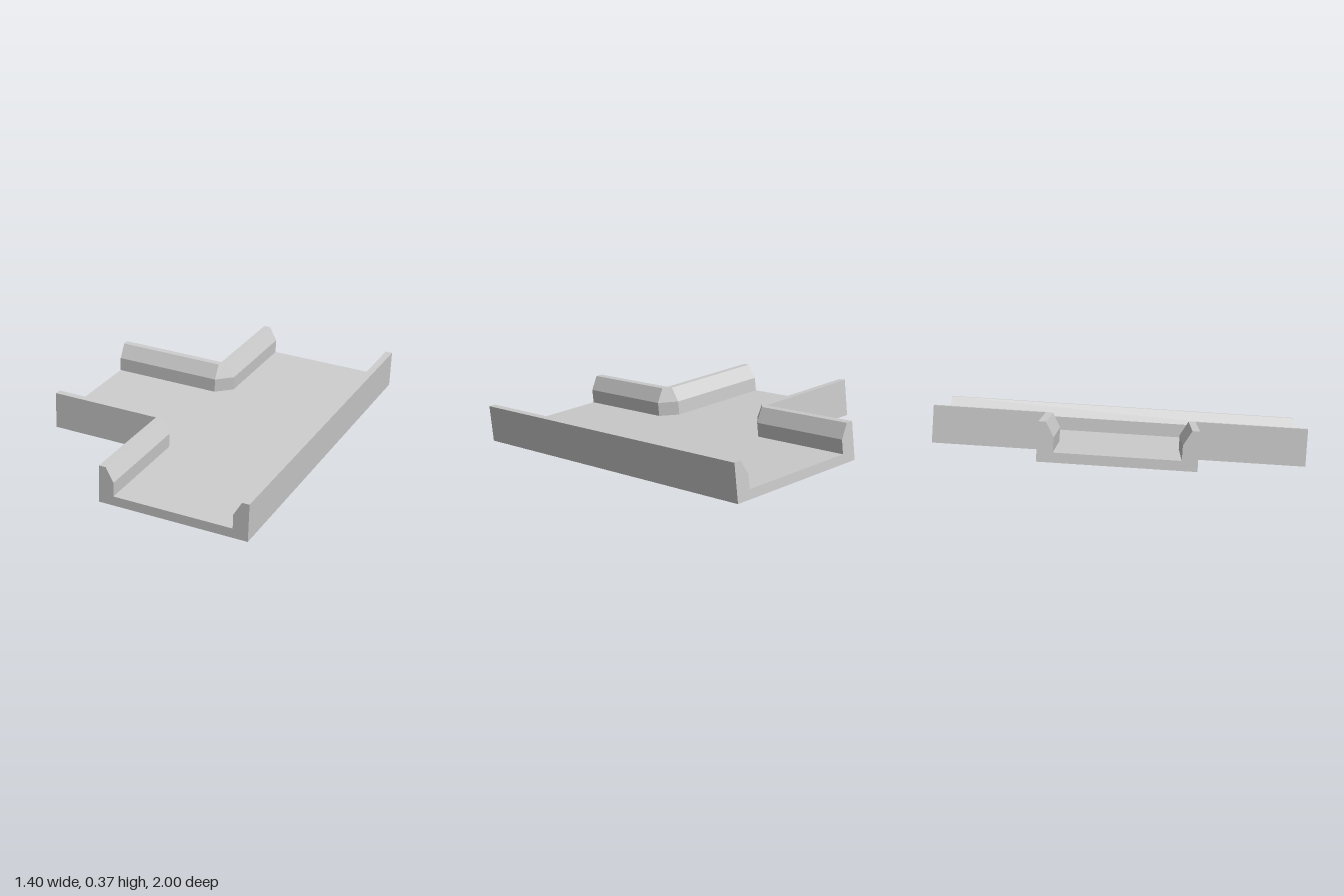
import * as THREE from 'three';

const HALF_LENGTH = 0.995, RIGHT = 0.697, LEFT = -0.1, ARM_END = -0.697, ARM = 0.398;
const WALL = 0.08, FLOOR = 0.05, HEIGHT = 0.2, TILT = 0.0628;

// Wall cross-section: [distance inward from the outer face, height]
const PROFILE = [[0, 0], [0, HEIGHT], [0.038, HEIGHT], [WALL, 0.125], [WALL, 0]];

// Skins the wall profile along a list of stations; each maps an inward distance to [x, z]
function wall(name, material, stations, flip) {
  const rings = stations.map(at => PROFILE.map(([d, h]) => {
    const [x, z] = at(d);
    return [x, h, z];
  }));
  const pos = [];
  const tri = (a, b, c) => pos.push(...a, ...(flip ? c : b), ...(flip ? b : c));
  const n = PROFILE.length;
  for (let i = 0; i + 1 < rings.length; i++) {
    for (let j = 0; j < n; j++) {
      const k = (j + 1) % n, p = rings[i], q = rings[i + 1];
      tri(p[j], q[j], q[k]);
      tri(p[j], q[k], p[k]);
    }
  }
  // End caps
  const first = rings[0], last = rings[rings.length - 1];
  for (let j = 1; j + 1 < n; j++) {
    tri(first[0], first[j], first[j + 1]);
    tri(last[0], last[j + 1], last[j]);
  }
  const geometry = new THREE.BufferGeometry();
  geometry.setAttribute('position', new THREE.Float32BufferAttribute(pos, 3));
  geometry.computeVertexNormals();
  const mesh = new THREE.Mesh(geometry, material);
  mesh.name = name;
  return mesh;
}

export function createModel() {
  const material = new THREE.MeshStandardMaterial({ color: 0xcccccc, flatShading: true });
  const tray = new THREE.Group();
  tray.name = 'tiltedTray';

  // T-shaped floor between the walls, with chamfered inner corners
  const inner = LEFT + WALL, armInner = ARM - WALL;
  const half = [[RIGHT - WALL, HALF_LENGTH], [inner, HALF_LENGTH], [inner, ARM], [LEFT, armInner], [ARM_END, armInner]];
  const outline = [...half, ...half.slice().reverse().map(([x, z]) => [x, -z])];
  const shape = new THREE.Shape(outline.map(([x, z]) => new THREE.Vector2(x, z)));
  const floorGeometry = new THREE.ExtrudeGeometry(shape, { depth: FLOOR, bevelEnabled: false });
  floorGeometry.rotateX(-Math.PI / 2);
  const floor = new THREE.Mesh(floorGeometry, material);
  floor.name = 'floor';
  tray.add(floor);

  // Long straight wall
  tray.add(wall('longWall', material, [
    d => [RIGHT - d, -HALF_LENGTH],
    d => [RIGHT - d, HALF_LENGTH],
  ], true));

  // Two mirrored walls that turn from the main channel into the side arm
  for (const s of [-1, 1]) {
    tray.add(wall(s < 0 ? 'backCornerWall' : 'frontCornerWall', material, [
      d => [LEFT + d, s * HALF_LENGTH],
      d => [LEFT + d, s * ARM],
      d => [LEFT, s * (ARM - d)],
      d => [ARM_END, s * (ARM - d)],
    ], s > 0));
  }

  // Tilt the tray, then centre it and rest its lowest corner on the ground
  tray.rotation.set(TILT, 0, -TILT);
  const model = new THREE.Group();
  model.name = 'trayJunction';
  model.add(tray);
  model.updateMatrixWorld(true);
  const box = new THREE.Box3().setFromObject(model, true);
  const centre = box.getCenter(new THREE.Vector3());
  tray.position.set(-centre.x, -box.min.y, -centre.z);
  return model;
}
